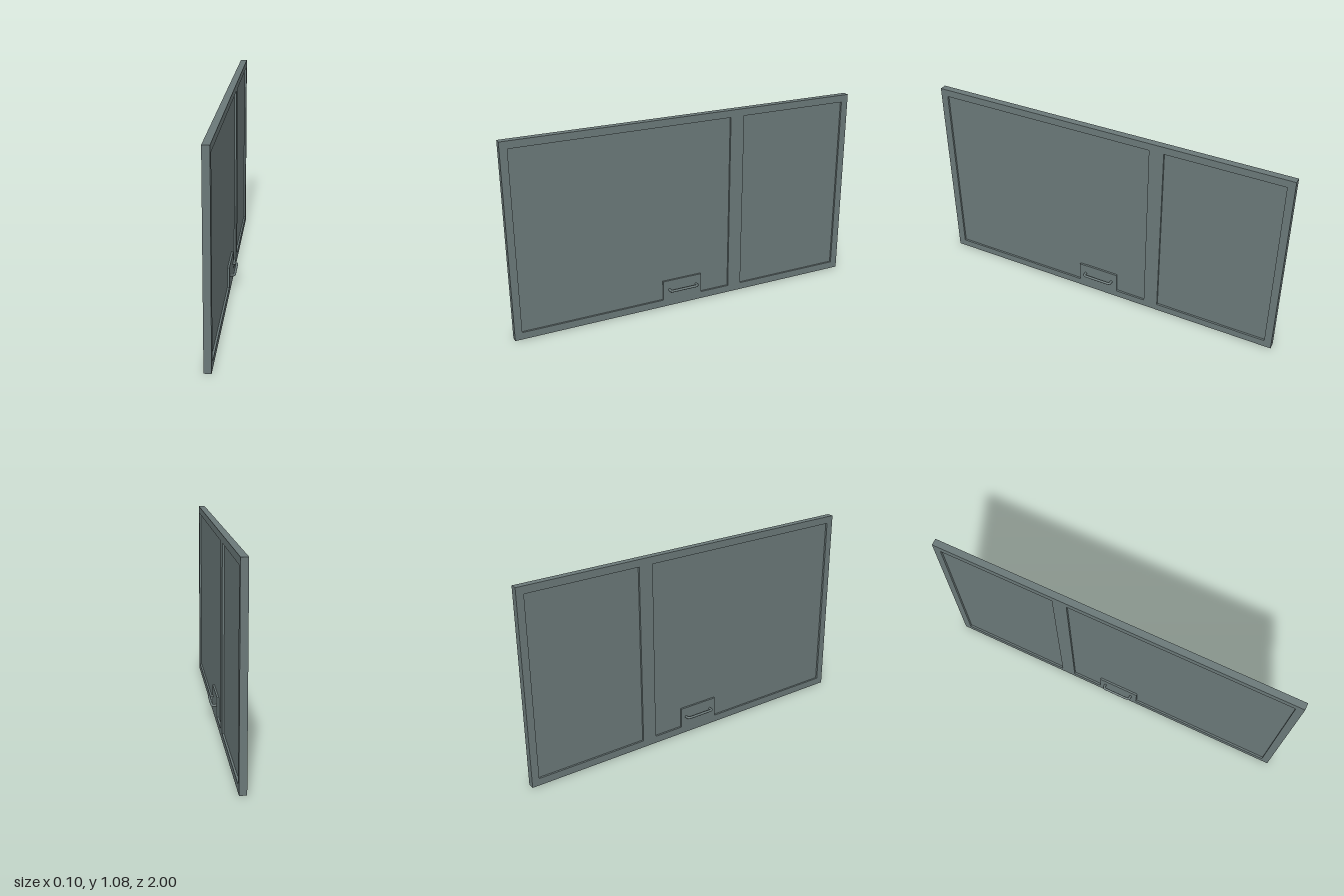
import * as THREE from 'three';

const H = 1.077, T = 0.0185, PANEL = 0.008;

// Closed outline from [z, y] points, drawn so that the extrusion runs along x
const trace = (path, pts) => {
  path.setFromPoints(pts.map(([z, y]) => new THREE.Vector2(-z, y)));
  path.closePath();
  return path;
};

export function createModel() {
  const group = new THREE.Group();
  const paint = new THREE.MeshStandardMaterial({ color: 0x6a7878 });
  paint.name = 'greyGreenPaint';

  const add = (name, geometry) => {
    const mesh = new THREE.Mesh(geometry, paint);
    mesh.name = name;
    group.add(mesh);
    return mesh;
  };

  // Frame with two openings; the large one steps around the handle plate
  const outline = trace(new THREE.Shape(), [[1, 0], [-1, 0], [-1, H], [1, H]]);
  outline.holes.push(
    trace(new THREE.Path(), [
      [0.96, 0.04], [0.96, 1.037], [-0.25, 1.037], [-0.25, 0.04],
      [-0.077, 0.04], [-0.077, 0.153], [0.155, 0.153], [0.155, 0.04],
    ]),
    trace(new THREE.Path(), [[-0.33, 0.04], [-0.33, 1.037], [-0.96, 1.037], [-0.96, 0.04]]),
  );
  const frame = new THREE.ExtrudeGeometry(outline, { depth: 2 * T, bevelEnabled: false });
  frame.translate(0, 0, -T).rotateY(Math.PI / 2);
  add('frame', frame);

  // Recessed panels, set back equally on both faces
  for (const [name, z0, z1] of [['largePanel', -0.25, 0.96], ['smallPanel', -0.96, -0.33]]) {
    const panel = new THREE.BoxGeometry(2 * PANEL, 0.997, z1 - z0);
    add(name, panel).position.set(0, 0.5385, (z0 + z1) / 2);
  }

  // Round-cornered bar handle on each face
  const v = (x, z) => new THREE.Vector3(x, 0.097, z);
  for (const [name, s] of [['leftHandle', 1], ['rightHandle', -1]]) {
    const a = -0.045, b = 0.119, x = 0.043, r = 0.014;
    const path = new THREE.CurvePath();
    path.add(new THREE.LineCurve3(v(s * (T - 0.004), a), v(s * (x - r), a)));
    path.add(new THREE.QuadraticBezierCurve3(v(s * (x - r), a), v(s * x, a), v(s * x, a + r)));
    path.add(new THREE.LineCurve3(v(s * x, a + r), v(s * x, b - r)));
    path.add(new THREE.QuadraticBezierCurve3(v(s * x, b - r), v(s * x, b), v(s * (x - r), b)));
    path.add(new THREE.LineCurve3(v(s * (x - r), b), v(s * (T - 0.004), b)));
    add(name, new THREE.TubeGeometry(path, 80, 0.007, 12));
  }

  return group;
}
